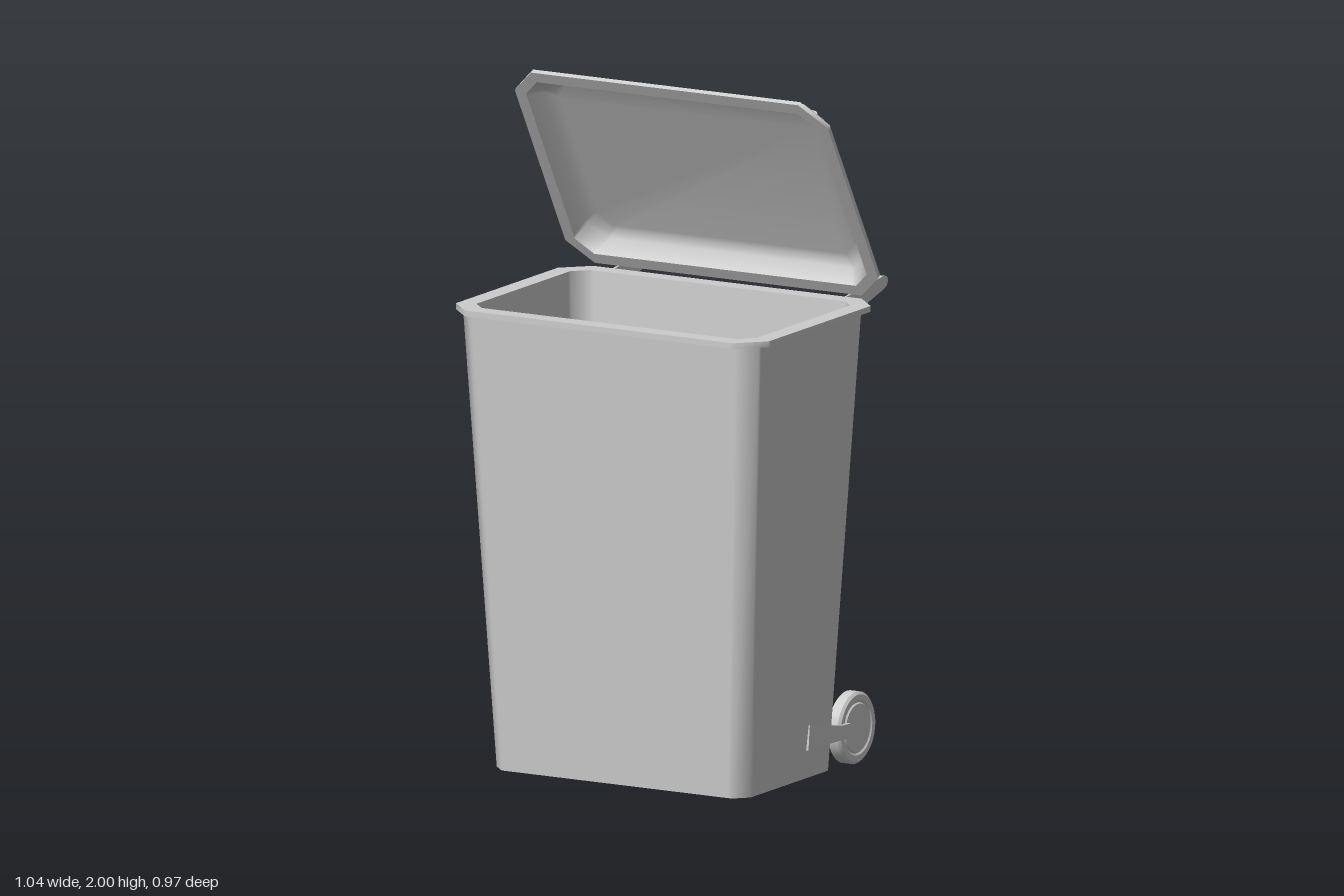
import * as THREE from 'three';
import { toCreasedNormals } from 'three/addons/utils/BufferGeometryUtils.js';

const material = new THREE.MeshStandardMaterial({ color: 0xcccccc });

function addMesh(parent, geometry, name) {
  const mesh = new THREE.Mesh(geometry, material);
  mesh.name = name;
  parent.add(mesh);
  return mesh;
}

// Rectangle with chamfered corners, plus support points that keep the walls flat
function chamferedRing({ x, front, back, c, y }) {
  const cz = (front + back) / 2, hz = (front - back) / 2, s = 0.012;
  const corner = [[x, hz - c - s], [x, hz - c], [x - c, hz], [x - c - s, hz]];
  const mirrored = corner.slice().reverse();
  return [
    ...corner,
    ...mirrored.map(([a, b]) => [-a, b]),
    ...corner.map(([a, b]) => [-a, -b]),
    ...mirrored.map(([a, b]) => [a, -b]),
  ].map(([a, b]) => [a, y, cz + b]);
}

// Skin through the rings, from a downward cap to an upward cap
function loft(sections) {
  const rings = sections.map(chamferedRing);
  const n = rings[0].length, positions = rings.flat(2), index = [];
  for (let r = 0; r < rings.length - 1; r++) {
    for (let i = 0; i < n; i++) {
      const j = (i + 1) % n, a = r * n, b = a + n;
      index.push(a + i, b + i, a + j, a + j, b + i, b + j);
    }
  }
  const top = (rings.length - 1) * n;
  for (let i = 1; i < n - 1; i++) {
    index.push(0, i, i + 1, top, top + i + 1, top + i);
  }
  const g = new THREE.BufferGeometry();
  g.setAttribute('position', new THREE.Float32BufferAttribute(positions, 3));
  g.setIndex(index);
  return toCreasedNormals(g, THREE.MathUtils.degToRad(50));
}

// Side plate drawn as (z, y) points, spanning x0 to x1
function sidePlate(points, x0, x1) {
  const shape = new THREE.Shape(points.map(([z, y]) => new THREE.Vector2(-z, y)));
  const g = new THREE.ExtrudeGeometry(shape, { depth: x1 - x0, bevelEnabled: false });
  g.rotateY(Math.PI / 2);
  g.translate(x0, 0, 0);
  return g;
}

// Arch outline standing on y = 0 with rounded upper corners
function archPath(path, w, y0, h, r) {
  path.moveTo(-w, y0);
  path.lineTo(w, y0);
  path.lineTo(w, h - r);
  path.quadraticCurveTo(w, h, w - r, h);
  path.lineTo(-w + r, h);
  path.quadraticCurveTo(-w, h, -w, h - r);
  path.closePath();
  return path;
}

export function createModel() {
  const model = new THREE.Group();
  model.name = 'wheeledBin';

  // Hollow tapered body with a flat rim
  addMesh(model, loft([
    { x: 0.422, front: 0.382, back: -0.132, c: 0.04, y: 0.01 },
    { x: 0.492, front: 0.457, back: -0.205, c: 0.045, y: 1.348 },
    { x: 0.52, front: 0.48, back: -0.24, c: 0.074, y: 1.348 },
    { x: 0.52, front: 0.48, back: -0.24, c: 0.074, y: 1.365 },
    { x: 0.465, front: 0.425, back: -0.185, c: 0.042, y: 1.365 },
    { x: 0.39, front: 0.35, back: -0.1, c: 0.035, y: 0.04 },
  ]), 'body');

  // Lid tray, tipped open about its rear edge
  const lid = new THREE.Group();
  lid.name = 'lid';
  lid.position.set(0, 1.373, -0.245);
  lid.rotation.x = -Math.PI / 3;
  model.add(lid);
  const length = 0.717;
  const lidProfile = [ // inset, height, chamfer
    [0.095, 0.065, 0.04], [0.08, 0.063, 0.045], [0.058, 0.05, 0.05], [0.035, 0, 0.05],
    [0, 0, 0.076], [0, 0.014, 0.076],
    [0.028, 0.014, 0.055], [0.05, 0.06, 0.052], [0.074, 0.074, 0.045], [0.09, 0.076, 0.04],
  ];
  addMesh(lid, loft(lidProfile.map(([inset, y, c]) => (
    { x: 0.52 - inset, front: length - inset, back: inset, c, y }))), 'lidShell');

  // Arched grip on the lid
  const grip = archPath(new THREE.Shape(), 0.405, 0, 0.068, 0.03);
  grip.holes.push(archPath(new THREE.Path(), 0.392, 0.006, 0.053, 0.02));
  const gripGeometry = new THREE.ExtrudeGeometry(grip, { depth: 0.052, bevelEnabled: false, curveSegments: 6 });
  addMesh(lid, toCreasedNormals(gripGeometry, 0.6), 'lidGrip').position.set(0, 0.07, 0.521);

  // Push bar at the back
  const bar = new THREE.CylinderGeometry(0.014, 0.014, 0.77, 16);
  bar.rotateZ(Math.PI / 2);
  addMesh(model, bar, 'pushBar').position.set(0, 1.37, -0.468);

  const bracket = [[-0.19, 1.278], [-0.215, 1.282], [-0.465, 1.348], [-0.479, 1.356],
    [-0.485, 1.37], [-0.478, 1.382], [-0.462, 1.386], [-0.19, 1.355]];
  const arm = [[0.038, 0.093], [-0.15, 0.09], [-0.2, 0.085],
    [-0.2, 0.13], [-0.15, 0.132], [0.03, 0.165]];

  // Wheel section: radius, distance along the axle
  const wheelProfile = [[0, -0.022], [0.07, -0.022], [0.074, -0.018], [0.08, -0.022],
    [0.097, -0.022], [0.105, -0.015], [0.105, 0.015], [0.097, 0.022],
    [0.08, 0.022], [0.074, 0.018], [0.07, 0.022], [0, 0.022]]
    .map(([r, y]) => new THREE.Vector2(r, y));
  const wheel = toCreasedNormals(new THREE.LatheGeometry(wheelProfile, 40), 0.5);
  wheel.rotateZ(Math.PI / 2);

  for (const [side, s] of [['left', 1], ['right', -1]]) {
    const plate = (points, x0, x1) => sidePlate(points, Math.min(s * x0, s * x1), Math.max(s * x0, s * x1));
    addMesh(model, plate(bracket, 0.382, 0.389), side + 'BarBracket');
    addMesh(model, plate(arm, 0.39, 0.434), side + 'WheelArm');
    addMesh(model, wheel, side + 'Wheel').position.set(s * 0.402, 0.105, -0.257);
  }
  return model;
}
